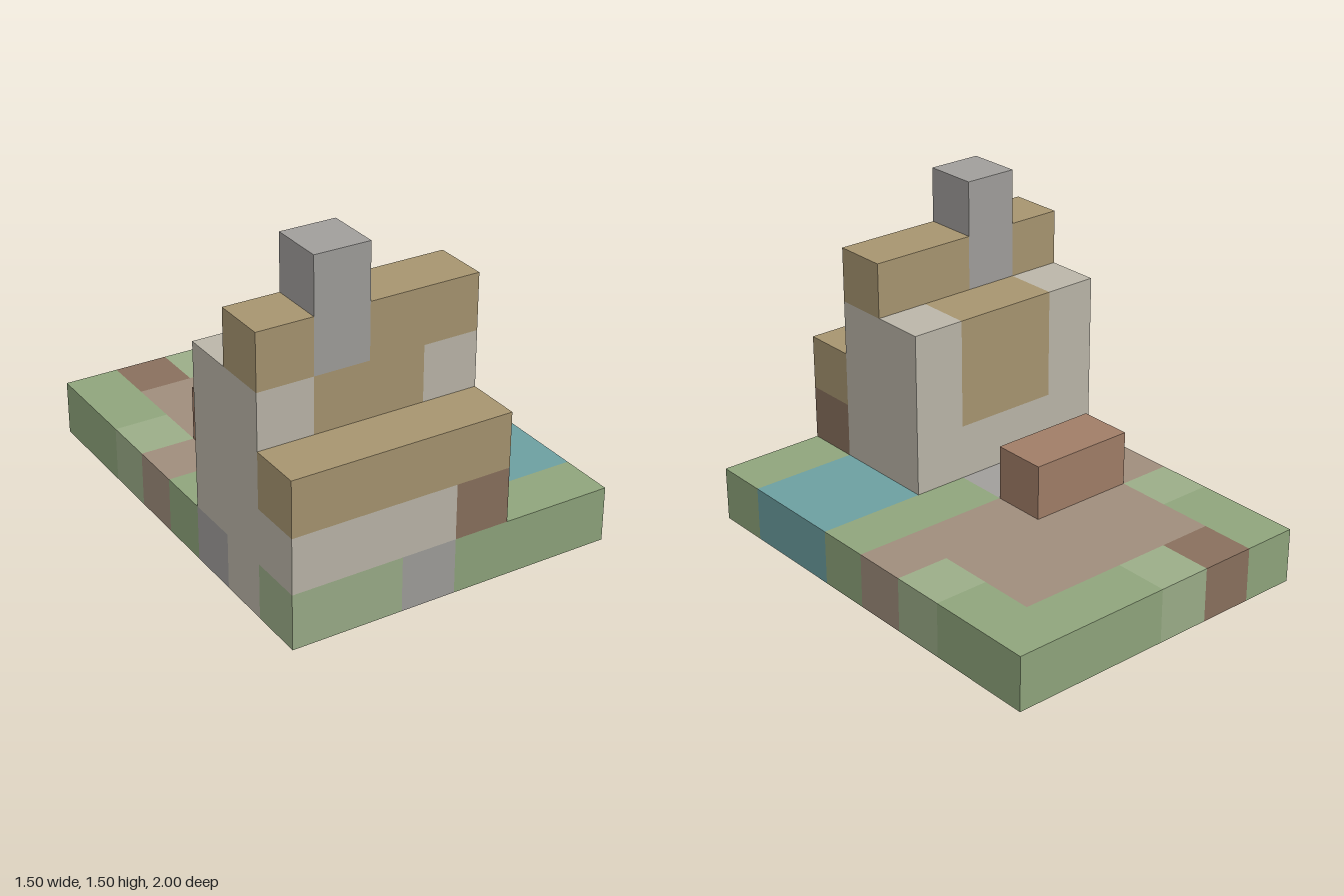
import * as THREE from 'three';
import { mergeGeometries } from 'three/addons/utils/BufferGeometryUtils.js';

const S = 0.25; // edge of one block
const NX = 6, NY = 6, NZ = 8;

// letter: [part name, color]
const PARTS = {
  g: ['lawn', 0x8fa57c],
  l: ['paleLawn', 0x9bad88],
  p: ['dirtYard', 0x9f8d7c],
  w: ['pond', 0x6c9fa1],
  s: ['stoneWall', 0xbbb6a9],
  o: ['roofAndTimber', 0xa79570],
  d: ['door', 0x89705d],
  b: ['bench', 0xa07d67],
  c: ['chimneyAndStep', 0xa09e9b],
};

// Ground layer, rows from back to front, columns from -x to +x
const GROUND = [
  'gdlggg',
  'gppppg',
  'lppppl',
  'pppppp',
  'ggcggg',
  'cssgww',
  'sssgww',
  'llcggg',
];

// Raised blocks: letter, x range, y range, z range in cells (end excluded)
const BLOCKS = [
  ['b', 1, 3, 1, 2, 3, 4], // bench
  ['s', 0, 4, 1, 4, 5, 7], // house body
  ['s', 0, 3, 1, 2, 7, 8], // front room
  ['d', 3, 4, 1, 2, 7, 8], // door
  ['o', 0, 4, 2, 3, 7, 8], // front roof
  ['o', 1, 3, 2, 4, 5, 7], // timber panel
  ['o', 0, 4, 4, 5, 6, 7], // ridge roof
  ['c', 1, 2, 4, 6, 6, 7], // chimney
];

// Outward faces: step to the neighbour and plane rotation (no underside)
const FACES = [
  [0, 0, 1, 0, 0], [0, 0, -1, 0, Math.PI],
  [1, 0, 0, 0, Math.PI / 2], [-1, 0, 0, 0, -Math.PI / 2],
  [0, 1, 0, -Math.PI / 2, 0],
];

export function createModel() {
  const cells = new Map();
  const key = (x, y, z) => `${x},${y},${z}`;
  GROUND.forEach((row, z) => [...row].forEach((c, x) => cells.set(key(x, 0, z), c)));
  for (const [c, x0, x1, y0, y1, z0, z1] of BLOCKS)
    for (let x = x0; x < x1; x++)
      for (let y = y0; y < y1; y++)
        for (let z = z0; z < z1; z++) cells.set(key(x, y, z), c);

  // Keep only exposed faces, collected per part, leaving a hollow shell
  const faces = {};
  for (let x = 0; x < NX; x++)
    for (let y = 0; y < NY; y++)
      for (let z = 0; z < NZ; z++) {
        const c = cells.get(key(x, y, z));
        if (!c) continue;
        for (const [dx, dy, dz, rx, ry] of FACES) {
          if (cells.has(key(x + dx, y + dy, z + dz))) continue;
          const quad = new THREE.PlaneGeometry(S, S).rotateX(rx).rotateY(ry);
          quad.translate(
            (x + 0.5 + dx / 2 - NX / 2) * S,
            (y + 0.5 + dy / 2) * S,
            (z + 0.5 + dz / 2 - NZ / 2) * S,
          );
          (faces[c] ??= []).push(quad);
        }
      }

  const model = new THREE.Group();
  model.name = 'blockCottage';
  for (const [c, quads] of Object.entries(faces)) {
    const [name, color] = PARTS[c];
    const material = new THREE.MeshStandardMaterial({ color, side: THREE.DoubleSide });
    const mesh = new THREE.Mesh(mergeGeometries(quads), material);
    mesh.name = name;
    model.add(mesh);
  }
  return model;
}
